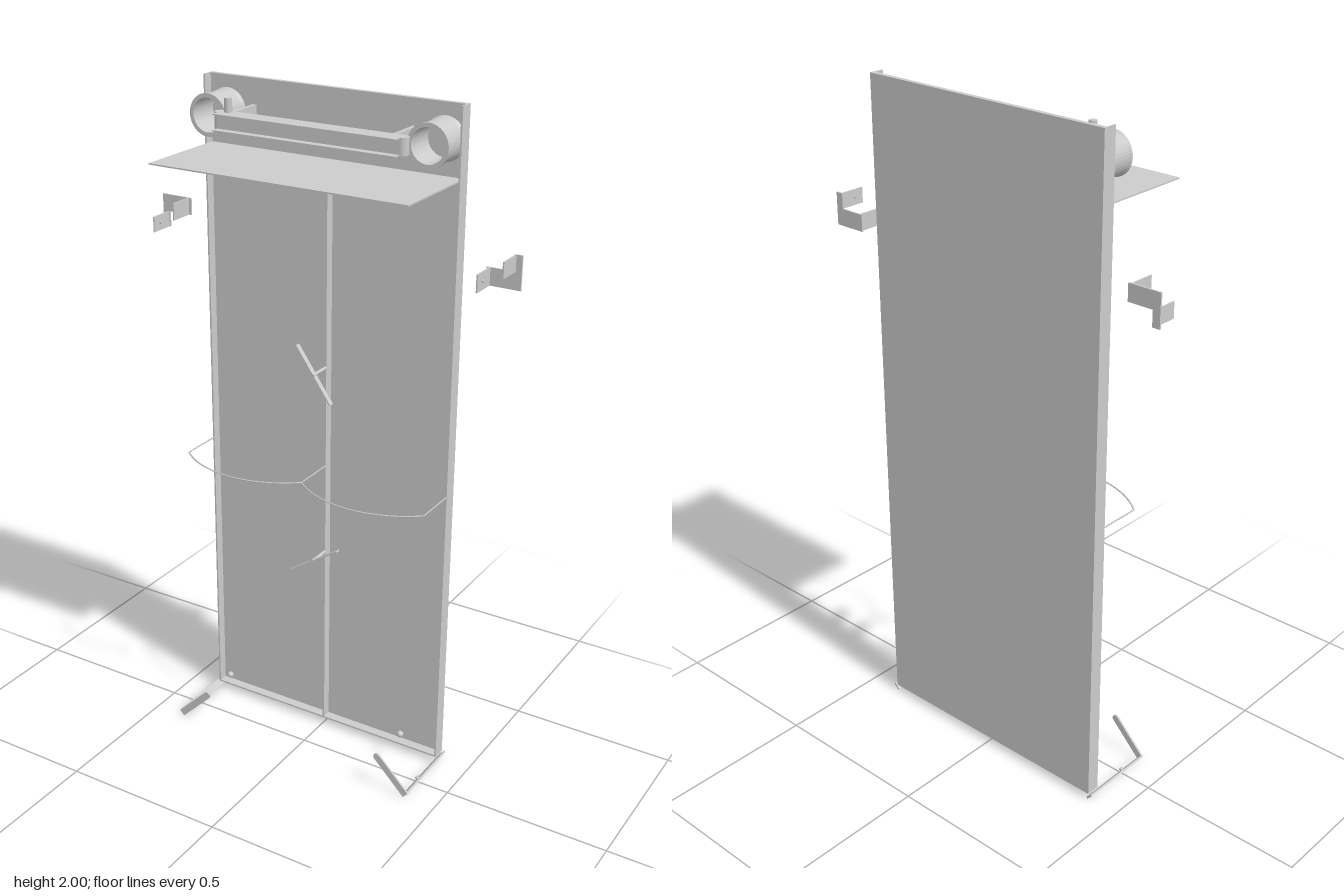
import * as THREE from 'three';

const mat = new THREE.MeshStandardMaterial({ color: 0xcccccc, side: THREE.DoubleSide });

function add(parent, name, geo, x = 0, y = 0, z = 0) {
  const m = new THREE.Mesh(geo, mat);
  m.name = name;
  m.position.set(x, y, z);
  parent.add(m);
  return m;
}

// Box given by its min / max on each axis
function box(parent, name, x0, x1, y0, y1, z0, z1) {
  return add(parent, name, new THREE.BoxGeometry(x1 - x0, y1 - y0, z1 - z0),
    (x0 + x1) / 2, (y0 + y1) / 2, (z0 + z1) / 2);
}

// Rod along z
function rod(parent, name, r, x, y, z0, z1) {
  const g = new THREE.CylinderGeometry(r, r, z1 - z0, 16).rotateX(Math.PI / 2);
  return add(parent, name, g, x, y, (z0 + z1) / 2);
}

const BACK = -0.157, PANEL = -0.143, FRONT = -0.115;

function makeCabinet() {
  const g = new THREE.Group();
  g.name = 'cabinet';
  box(g, 'backPanel', -0.4, 0.4, 0.02, 2, BACK, PANEL);
  box(g, 'sideWallRight', -0.4, -0.395, 0.02, 2, PANEL, FRONT);
  box(g, 'sideWallLeft', 0.395, 0.4, 0.02, 2, PANEL, FRONT);
  box(g, 'centreDivider', -0.0025, 0.0025, 0.025, 1.803, PANEL, FRONT);
  box(g, 'bottomPlate', -0.395, 0.395, 0.02, 0.025, PANEL, FRONT);
  box(g, 'shelf', -0.395, 0.395, 1.803, 1.807, PANEL, 0.155);
  for (const s of [-1, 1]) box(g, 'shelfCatch', s * 0.096 - 0.011, s * 0.096 + 0.011, 1.793, 1.803, -0.115, -0.095);
  return g;
}

// Hollow cup, open to the front
function makeCup(x) {
  const pts = [[0, 0.004], [0.048, 0.004], [0.048, 0.098], [0.06, 0.098], [0.06, 0.092],
    [0.057, 0.088], [0.057, 0.012], [0.06, 0.006], [0.06, 0], [0, 0]];
  const geo = new THREE.LatheGeometry(pts.map(p => new THREE.Vector2(...p)).reverse(), 40).rotateX(Math.PI / 2);
  const m = new THREE.Mesh(geo.toNonIndexed(), mat);
  m.geometry.computeVertexNormals();
  m.name = 'cup';
  m.position.set(x, 1.905, PANEL);
  return m;
}

// Channel rail with rounded ends, carried on two arms
function makeRail() {
  const g = new THREE.Group();
  g.name = 'rail';
  const y0 = 1.88, y1 = 1.927, zc = -0.023, r = 0.017;
  const s = new THREE.Shape();
  s.moveTo(-0.28, -r);
  s.lineTo(0.28, -r);
  s.absarc(0.28, 0, r, -Math.PI / 2, Math.PI / 2, false);
  s.lineTo(-0.28, r);
  s.absarc(-0.28, 0, r, Math.PI / 2, Math.PI * 1.5, false);
  const body = new THREE.ExtrudeGeometry(s, { depth: y1 - y0, bevelEnabled: false, curveSegments: 12 }).rotateX(-Math.PI / 2);
  add(g, 'railBody', body, 0, y0, zc);
  box(g, 'railTopFlange', -0.28, 0.28, y1 - 0.003, y1, -0.007, 0.017);
  box(g, 'railBottomFlange', -0.28, 0.28, y0, y0 + 0.003, -0.007, 0.017);
  for (const k of [-1, 1]) box(g, 'railArm', k * 0.249 - 0.006, k * 0.249 + 0.006, y0, y1, PANEL, -0.04);
  add(g, 'railPin', new THREE.CylinderGeometry(0.011, 0.011, 0.04, 20), -0.255, 1.946, zc);
  return g;
}

// Turning latch on a stem
function makeLatch(y, angle, length) {
  const g = new THREE.Group();
  g.name = 'latch';
  g.position.y = y;
  rod(g, 'latchStem', 0.005, 0, 0, FRONT - 0.002, -0.045);
  add(g, 'latchBlade', new THREE.BoxGeometry(length, 0.004, 0.016), 0, 0, -0.053).rotation.z = angle;
  return g;
}

// Retaining cord: straight at both sides, bowed to the front between
function makeCord(x0, x1) {
  const path = new THREE.CurvePath();
  const v = (x, z) => new THREE.Vector3(x, 0.9, z);
  const zs = 0.015, mid = (x0 + x1) / 2;
  const half = (x1 - x0) / 2, sag = 0.075;
  const R = (half * half + sag * sag) / (2 * sag), a = Math.asin(half / R);
  const arc = [];
  for (let i = 0; i <= 16; i++) {
    const t = -a + (2 * a * i) / 16;
    arc.push(v(mid + R * Math.sin(t), zs + sag - R + R * Math.cos(t)));
  }
  path.add(new THREE.LineCurve3(v(x0, FRONT), arc[0]));
  path.add(new THREE.CatmullRomCurve3(arc));
  path.add(new THREE.LineCurve3(arc[16], v(x1, FRONT)));
  const m = new THREE.Mesh(new THREE.TubeGeometry(path, 80, 0.0022, 6), mat);
  m.name = 'cord';
  return m;
}

// Bent strip foot: a run along z, then a diagonal arm at the front
function makeFoot(side) {
  const g = new THREE.Group();
  g.name = 'foot';
  const tilt = new THREE.Group();
  tilt.position.set(side * 0.403, 0.0115, 0);
  tilt.rotation.z = side * Math.PI / 4;
  g.add(tilt);
  // local y is the arm direction, local x the strip width
  box(tilt, 'footRun', -0.011, 0.011, -0.003, 0.003, BACK, 0.088);
  box(tilt, 'footArm', -0.011, 0.011, -0.003, 0.137, 0.082, 0.088);
  const tip = new THREE.CylinderGeometry(0.011, 0.011, 0.006, 20).rotateX(Math.PI / 2);
  add(tilt, 'footArmTip', tip, 0, 0.137, 0.085);
  add(tilt, 'footScrew', new THREE.CylinderGeometry(0.006, 0.006, 0.008, 12), 0, 0.006, 0);
  add(g, 'stopPin', new THREE.SphereGeometry(0.01, 16, 12), side * 0.31, 0.11, -0.05);
  return g;
}

// Offset clip beside the cabinet, centred on its own origin in x and y
function makeClip() {
  const g = new THREE.Group();
  g.name = 'sideClip';
  const z0 = -0.145, z1 = -0.14, z2 = -0.066;
  box(g, 'clipPlateLower', -0.05, 0.05, -0.048, 0.002, z0, z1);
  box(g, 'clipPlateUpper', 0.027, 0.05, 0.002, 0.048, z0, z1);
  box(g, 'clipTabInner', -0.043, -0.039, -0.048, 0.002, z1, z2);
  box(g, 'clipTabOuter', 0.029, 0.033, 0.002, 0.048, z1, z2);
  for (const [x, y] of [[-0.037, -0.023], [0.027, 0.025]]) {
    add(g, 'clipScrew', new THREE.CylinderGeometry(0.005, 0.005, 0.006, 12).rotateZ(Math.PI / 2), x, y, -0.095);
  }
  return g;
}

export function createModel() {
  const model = new THREE.Group();
  model.name = 'wallCabinet';
  model.add(makeCabinet(), makeRail());
  model.add(makeLatch(1.21, -0.955, 0.196), makeLatch(0.615, 0.585, 0.198));
  model.add(makeCord(-0.397, 0), makeCord(0, 0.397));
  for (const s of [-1, 1]) {
    model.add(makeCup(s * 0.339), makeFoot(s));
    // the two clips are half-turn copies of each other
    const clip = makeClip();
    clip.position.set(s * 0.525, 1.583, 0);
    if (s < 0) clip.rotation.z = Math.PI;
    model.add(clip);
  }
  return model;
}
